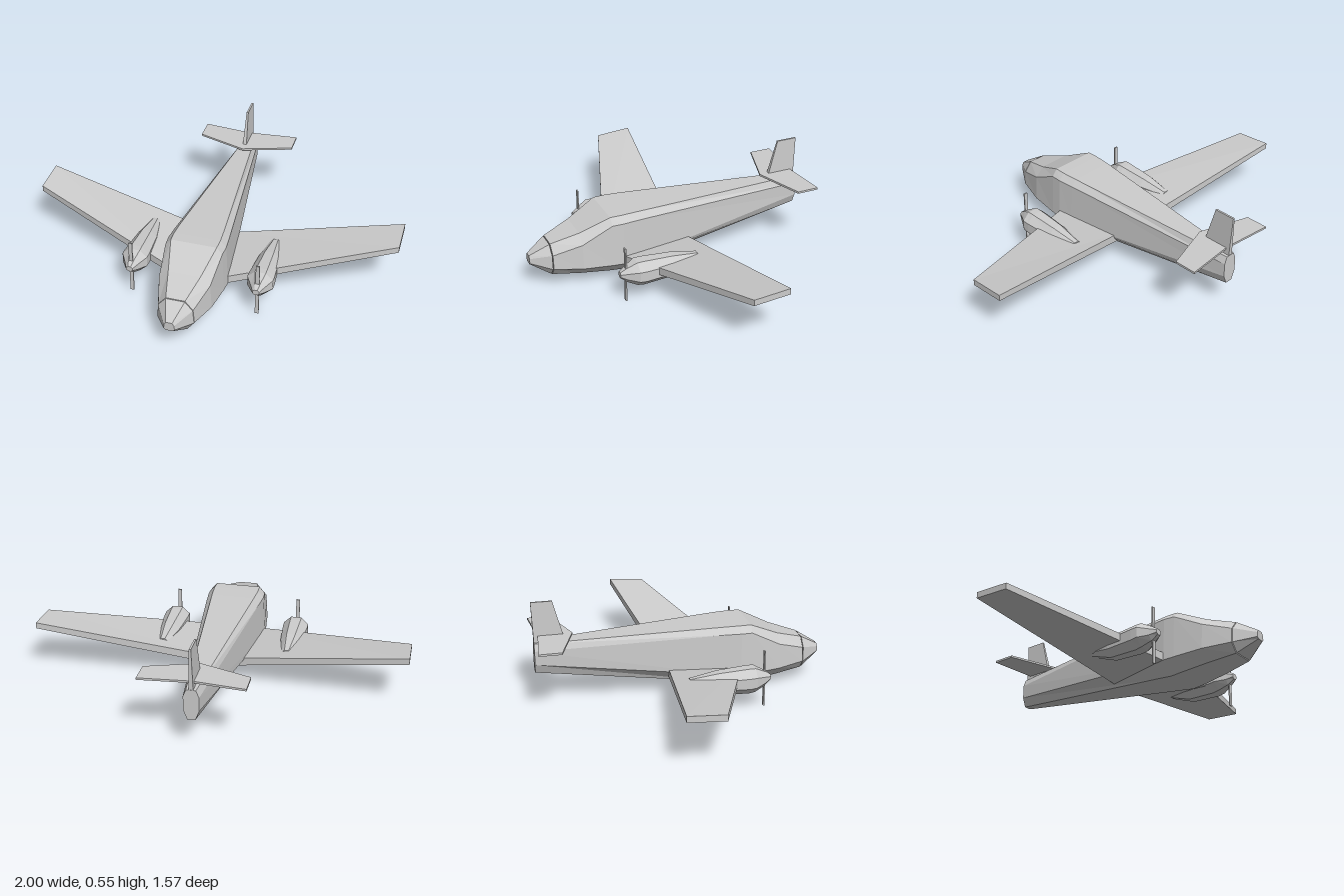
import * as THREE from 'three';

const material = new THREE.MeshStandardMaterial({ color: 0xcccccc, flatShading: true });

// Skin a list of rings, each counterclockwise as seen from the first ring's end, with capped ends.
// side = -1 mirrors the part across x = 0.
function loft(name, rings, side = 1) {
  if (side < 0) rings = rings.map((r) => r.map(([x, y, z]) => [-x, y, z]).reverse());
  const n = rings[0].length;
  const pos = [];
  const tri = (a, b, c) => pos.push(...a, ...b, ...c);
  for (let k = 0; k + 1 < rings.length; k++) {
    const A = rings[k], B = rings[k + 1];
    for (let i = 0; i < n; i++) {
      const j = (i + 1) % n;
      tri(A[i], B[i], A[j]);
      tri(A[j], B[i], B[j]);
    }
  }
  const first = rings[0], last = rings[rings.length - 1];
  for (let i = 1; i + 1 < n; i++) {
    tri(first[0], first[i], first[i + 1]);
    tri(last[0], last[i + 1], last[i]);
  }
  const g = new THREE.BufferGeometry();
  g.setAttribute('position', new THREE.Float32BufferAttribute(pos, 3));
  g.computeVertexNormals();
  const mesh = new THREE.Mesh(g, material);
  mesh.name = name;
  return mesh;
}

// Eight-sided body section: heights and half widths at bottom, chine, shoulder and roof
const bodyRing = ([z, yb, wb, yc, wc, ys, ws, yt, wt]) => [
  [wb, yb, z], [wc, yc, z], [ws, ys, z], [wt, yt, z],
  [-wt, yt, z], [-ws, ys, z], [-wc, yc, z], [-wb, yb, z],
];

// Octagonal nacelle section from half width, bottom and top
function nacelleRing([z, w, y0, y1]) {
  const cx = 0.342, cy = (y0 + y1) / 2, h = (y1 - y0) / 2, k = 0.42;
  return [[k, -1], [1, -k], [1, k], [k, 1], [-k, 1], [-1, k], [-1, -k], [-k, -1]]
    .map(([u, v]) => [cx + u * w, cy + v * h, z]);
}

// Wing section at x: leading and trailing edge z, their undersides and the thickness
const wingRing = ([x, zl, zt, yl, yt, t]) =>
  [[x, yt, zt], [x, yt + t, zt], [x, yl + t, zl], [x, yl, zl]];

export function createModel() {
  const plane = new THREE.Group();
  plane.name = 'twinEngineAircraft';

  // Nose cone, split from the body by a thin seam
  plane.add(loft('noseCone', [
    [0.785, 0.138, 0.018, 0.147, 0.028, 0.172, 0.026, 0.187, 0.016],
    [0.682, 0.076, 0.06, 0.122, 0.096, 0.2, 0.09, 0.248, 0.05],
  ].map(bodyRing)));

  // Fuselage with windscreen slope and tapering tail
  plane.add(loft('fuselage', [
    [0.678, 0.074, 0.06, 0.122, 0.097, 0.2, 0.091, 0.25, 0.05],
    [0.53, 0.057, 0.085, 0.113, 0.143, 0.25, 0.135, 0.297, 0.085],
    [0.37, 0.04, 0.1, 0.105, 0.162, 0.335, 0.152, 0.371, 0.122],
    [0.31, 0.035, 0.102, 0.102, 0.166, 0.336, 0.156, 0.371, 0.124],
    [0.22, 0.046, 0.097, 0.111, 0.157, 0.335, 0.148, 0.369, 0.118],
    [-0.778, 0.165, 0.02, 0.215, 0.04, 0.29, 0.04, 0.328, 0.025],
  ].map(bodyRing)));

  for (const side of [1, -1]) {
    const label = side > 0 ? 'left' : 'right';

    // Wing rising toward the tip
    plane.add(loft(label + 'Wing', [
      [1, 0, -0.196, 0.257, 0.27, 0.033],
      [0.06, 0.345, -0.07, 0.083, 0.095, 0.045],
    ].map(wingRing), side));

    // Engine nacelle, with its cowl nose and tapered rear
    plane.add(loft(label + 'Nacelle', [
      [0.412, 0.018, 0.146, 0.176],
      [0.378, 0.036, 0.118, 0.198],
      [0.325, 0.068, 0.094, 0.225],
      [0.29, 0.068, 0.088, 0.225],
      [0.13, 0.056, 0.094, 0.214],
      [-0.02, 0.027, 0.148, 0.19],
    ].map(nacelleRing), side));

    // Two-bladed propeller
    const prop = new THREE.Mesh(new THREE.BoxGeometry(0.02, 0.308, 0.007), material);
    prop.name = label + 'Propeller';
    prop.position.set(side * 0.342, 0.154, 0.38);
    plane.add(prop);
  }

  // Tailplane, swept on the leading edge
  plane.add(loft('tailplane', [
    [0.27, -0.66, -0.78, 0.355, 0.355, 0.011],
    [0, -0.572, -0.755, 0.355, 0.355, 0.011],
    [-0.27, -0.66, -0.78, 0.355, 0.355, 0.011],
  ].map(wingRing)));

  // Tail fin
  plane.add(loft('tailFin', [
    [0.55, -0.672, -0.785, 0.005],
    [0.31, -0.607, -0.776, 0.012],
  ].map(([y, zf, zb, w]) => [[w, y, zf], [w, y, zb], [-w, y, zb], [-w, y, zf]])));

  return plane;
}
